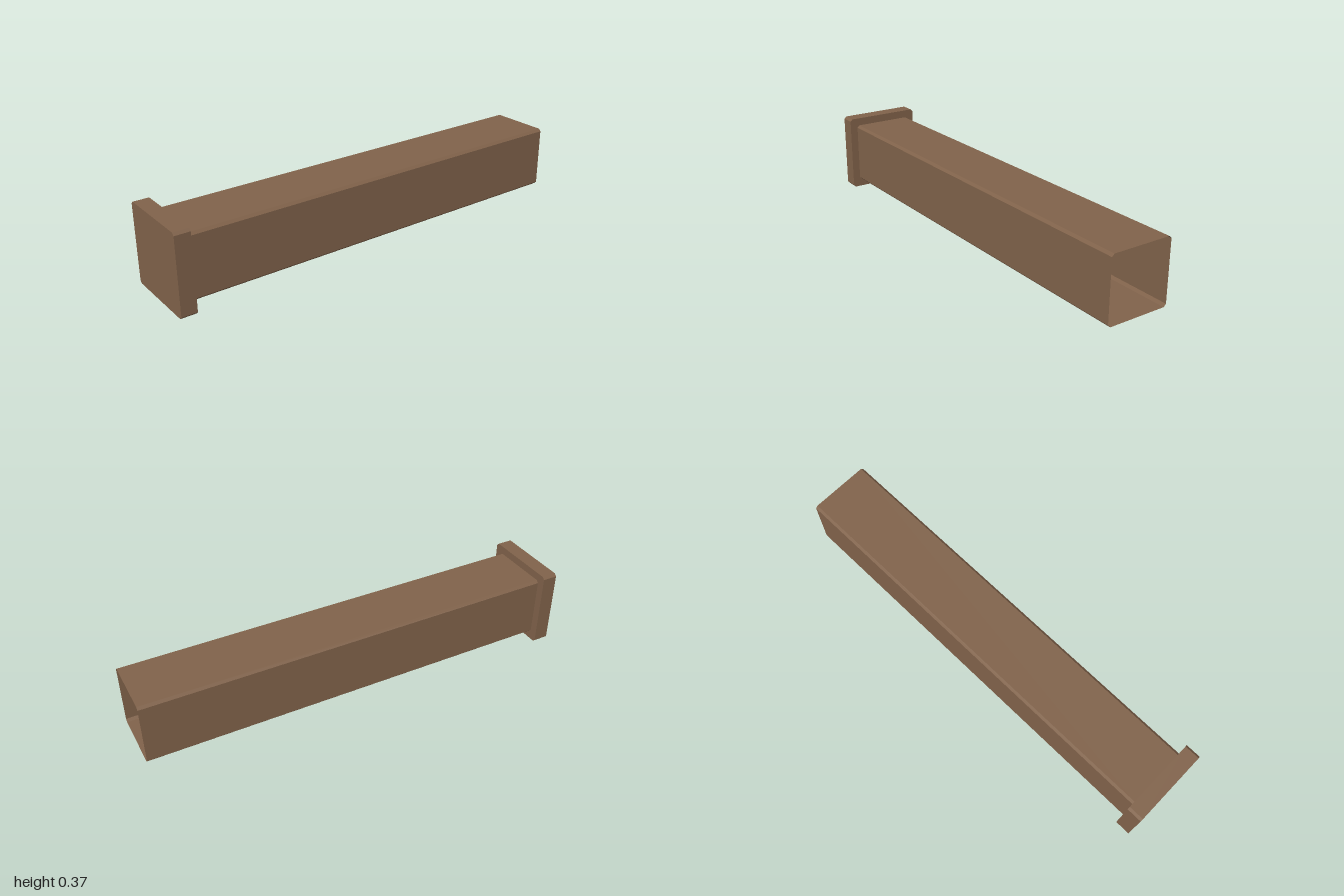
import * as THREE from 'three';

const CENTRE_Y = 0.1835, CHAMFER = 0.011;
const BEAM = 0.146, HEAD = 0.1835;
const BACK = -1, COLLAR = 0.93, FRONT = 1;

// Square outline with clipped corners, counter-clockwise seen from the front
function outline(h) {
  const c = h - CHAMFER;
  return [[-c, -h], [c, -h], [h, -c], [h, c], [c, h], [-c, h], [-h, c], [-h, -c]]
    .map(([x, y]) => new THREE.Vector2(x, y));
}

// Flat-sided walls joining successive [half size, z] outlines
function loft(sections) {
  const rings = sections.map(([h, z]) => outline(h).map(p => [p.x, p.y, z]));
  const pos = [];
  for (let r = 0; r < rings.length - 1; r++) {
    for (let i = 0; i < 8; i++) {
      const j = (i + 1) % 8;
      const a = rings[r][i], b = rings[r][j], c = rings[r + 1][j], d = rings[r + 1][i];
      pos.push(...a, ...b, ...c, ...a, ...c, ...d);
    }
  }
  const geo = new THREE.BufferGeometry();
  geo.setAttribute('position', new THREE.Float32BufferAttribute(pos, 3));
  geo.computeVertexNormals();
  return geo;
}

export function createModel() {
  const group = new THREE.Group();
  group.name = 'beam';
  const wood = new THREE.MeshStandardMaterial({ color: 0x80624a, side: THREE.DoubleSide });
  wood.name = 'brown wood';

  const add = (name, geo, z = 0) => {
    const mesh = new THREE.Mesh(geo, wood);
    mesh.name = name;
    mesh.position.set(0, CENTRE_Y, z);
    group.add(mesh);
  };

  // Long hollow shaft, open at the back
  add('shaft', loft([[BEAM, BACK], [BEAM, COLLAR]]));
  // Wider end block: stepped shoulder and sides, then the front face
  add('endBlock', loft([[BEAM, COLLAR], [HEAD, COLLAR], [HEAD, FRONT]]));
  add('endFace', new THREE.ShapeGeometry(new THREE.Shape(outline(HEAD))), FRONT);

  return group;
}
